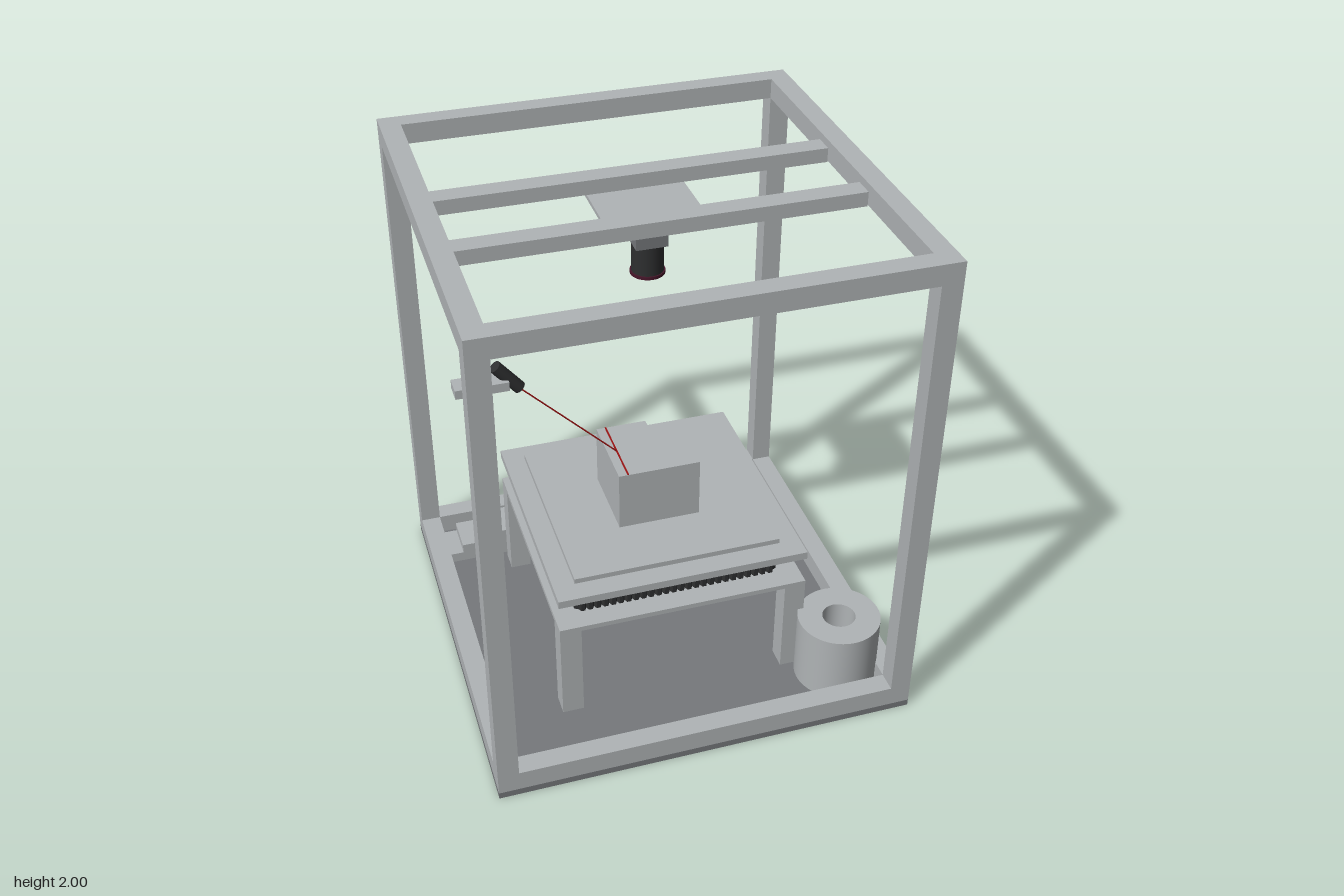
import * as THREE from 'three';

const mat = (name, color) => {
  const m = new THREE.MeshStandardMaterial({ color });
  m.name = name;
  return m;
};

export function createModel() {
  const root = new THREE.Group();
  root.name = 'scanningRig';
  const grey = mat('lightGrey', 0xb0b4b6);
  const dark = mat('darkGrey', 0x76797c);
  const black = mat('black', 0x2e2f30);
  const red = mat('laserRed', 0x9c1212);
  const wine = mat('lensRim', 0x47162a);

  const group = (name) => {
    const g = new THREE.Group();
    g.name = name;
    root.add(g);
    return g;
  };
  const add = (parent, name, geo, material) => {
    const m = new THREE.Mesh(geo, material);
    m.name = name;
    parent.add(m);
    return m;
  };
  // Box given by its limits on each axis
  const box = (parent, name, material, x0, x1, y0, y1, z0, z1) => {
    const m = add(parent, name, new THREE.BoxGeometry(x1 - x0, y1 - y0, z1 - z0), material);
    m.position.set((x0 + x1) / 2, (y0 + y1) / 2, (z0 + z1) / 2);
    return m;
  };
  // Cylinder running between two points
  const rod = (parent, name, material, a, b, r, sides = 32) => {
    const d = b.clone().sub(a);
    const m = add(parent, name, new THREE.CylinderGeometry(r, r, d.length(), sides), material);
    m.position.copy(a).add(b).multiplyScalar(0.5);
    m.quaternion.setFromUnitVectors(new THREE.Vector3(0, 1, 0), d.normalize());
    return m;
  };
  const v = (x, y, z) => new THREE.Vector3(x, y, z);

  // Cage: floor, posts and rails
  const O = 0.823, I = 0.743, F = 0.027;
  const cage = group('cage');
  box(cage, 'floor', dark, -O, O, 0, F, -O, O);
  for (const s of [-1, 1]) {
    const lo = s < 0 ? -O : I, hi = s < 0 ? -I : O;
    box(cage, 'post', grey, lo, hi, F, 2, -O, -I);
    box(cage, 'post', grey, lo, hi, F, 2, I, O);
    for (const [y0, y1] of [[F, 0.11], [1.92, 2]]) {
      box(cage, 'sideRail', grey, lo, hi, y0, y1, -I, I);
      box(cage, 'crossRail', grey, -I, I, y0, y1, lo, hi);
    }
    // Inner beams carrying the camera
    box(cage, 'cameraBeam', grey, -I, I, 1.914, 1.97, s * 0.186 - 0.041, s * 0.186 + 0.041);
  }

  // Overhead camera
  const camera = group('camera');
  box(camera, 'cameraPlate', grey, -0.183, 0.183, 1.898, 1.914, -0.183, 0.183);
  box(camera, 'cameraBody', dark, -0.06, 0.06, 1.775, 1.898, -0.06, 0.06);
  rod(camera, 'lens', black, v(0, 1.66, 0), v(0, 1.775, 0), 0.06);
  rod(camera, 'lensRim', wine, v(0, 1.65, 0), v(0, 1.662, 0), 0.065);

  // Laser on its bracket, with its beam and the line on the workpiece
  const laser = group('laser');
  box(laser, 'bracket', grey, -I, -0.54, 1.259, 1.296, -0.04, 0.04);
  rod(laser, 'laserBody', black, v(-0.584, 1.348, 0), v(-0.495, 1.24, 0), 0.025, 24);
  rod(laser, 'laserBeam', red, v(-0.505, 1.247, 0), v(-0.126, 0.868, 0), 0.003, 8);
  box(laser, 'laserLine', red, -0.129, -0.123, 0.868, 0.871, -0.162, 0.162);

  // Table
  const T = 0.494, L = 0.41;
  const table = group('table');
  box(table, 'tableTop', grey, -T, T, 0.435, 0.455, -T, T);
  for (const x of [-1, 1]) for (const z of [-1, 1]) {
    const cx = x * (T + L) / 2, cz = z * (T + L) / 2, h = (T - L) / 2;
    box(table, 'tableLeg', grey, cx - h, cx + h, F, 0.435, cz - h, cz + h);
  }

  // Pleated bellows: square outline with teeth on all four sides
  const teeth = 26, pitch = 2 * 0.395 / teeth;
  const outline = [];
  for (let side = 0; side < 4; side++) {
    const a = side * Math.PI / 2, c = Math.cos(a), s = Math.sin(a);
    const put = (x, y) => outline.push(new THREE.Vector2(x * c - y * s, x * s + y * c));
    for (let i = 0; i < teeth; i++) {
      const x = -0.395 + i * pitch;
      put(x, -0.395);
      put(x + pitch * 0.25, -L);
      put(x + pitch * 0.75, -L);
    }
  }
  const bellows = new THREE.ExtrudeGeometry(new THREE.Shape(outline), { depth: 0.103, bevelEnabled: false });
  bellows.rotateX(-Math.PI / 2);
  add(table, 'bellows', bellows, black).position.y = 0.455;

  // Moving platform
  const platform = group('platform');
  box(platform, 'platformBase', grey, -L, L, 0.558, 0.567, -L, L);
  box(platform, 'platformPlate', grey, -T, T, 0.567, 0.599, -T, T);
  box(platform, 'platformPad', grey, -L, L, 0.599, 0.62, -L, L);

  // Workpiece: block with one back corner cut out (shape y becomes -z)
  const B = 0.163;
  const ell = new THREE.Shape([[-B, -B], [B, -B], [B, 0.037], [0.04, 0.037], [0.04, B], [-B, B]]
    .map(([x, y]) => new THREE.Vector2(x, y)));
  const block = new THREE.ExtrudeGeometry(ell, { depth: 0.248, bevelEnabled: false });
  block.rotateX(-Math.PI / 2);
  add(platform, 'workpiece', block, grey).position.y = 0.62;

  // Hollow cylinder on the floor
  const r = 0.163, h = 0.065;
  const ring = new THREE.Shape().absarc(0, 0, r, 0, Math.PI * 2);
  ring.holes.push(new THREE.Path().absarc(0, 0, h, 0, Math.PI * 2, true));
  const tube = new THREE.ExtrudeGeometry(ring, { depth: 0.312 - F, bevelEnabled: false, curveSegments: 32 });
  // Smooth the round walls
  const p = tube.attributes.position, n = tube.attributes.normal;
  for (let i = 0; i < p.count; i++) {
    if (Math.abs(n.getZ(i)) > 0.5) continue;
    const x = p.getX(i), y = p.getY(i), len = Math.hypot(x, y);
    const s = len > (r + h) / 2 ? 1 : -1;
    n.setXYZ(i, s * x / len, s * y / len, 0);
  }
  tube.rotateX(-Math.PI / 2);
  add(root, 'hollowCylinder', tube, grey).position.set(0.612, F, 0.575);

  // Stepped block on the floor
  const steps = group('steppedBlock');
  const edges = [-I, -0.683, -0.558, -0.434, -0.31, -0.19];
  for (let i = 0; i < 5; i++) {
    box(steps, 'step', grey, edges[i], edges[i + 1], F, 0.07 + i * 0.04, -0.68, -0.52);
  }
  return root;
}
